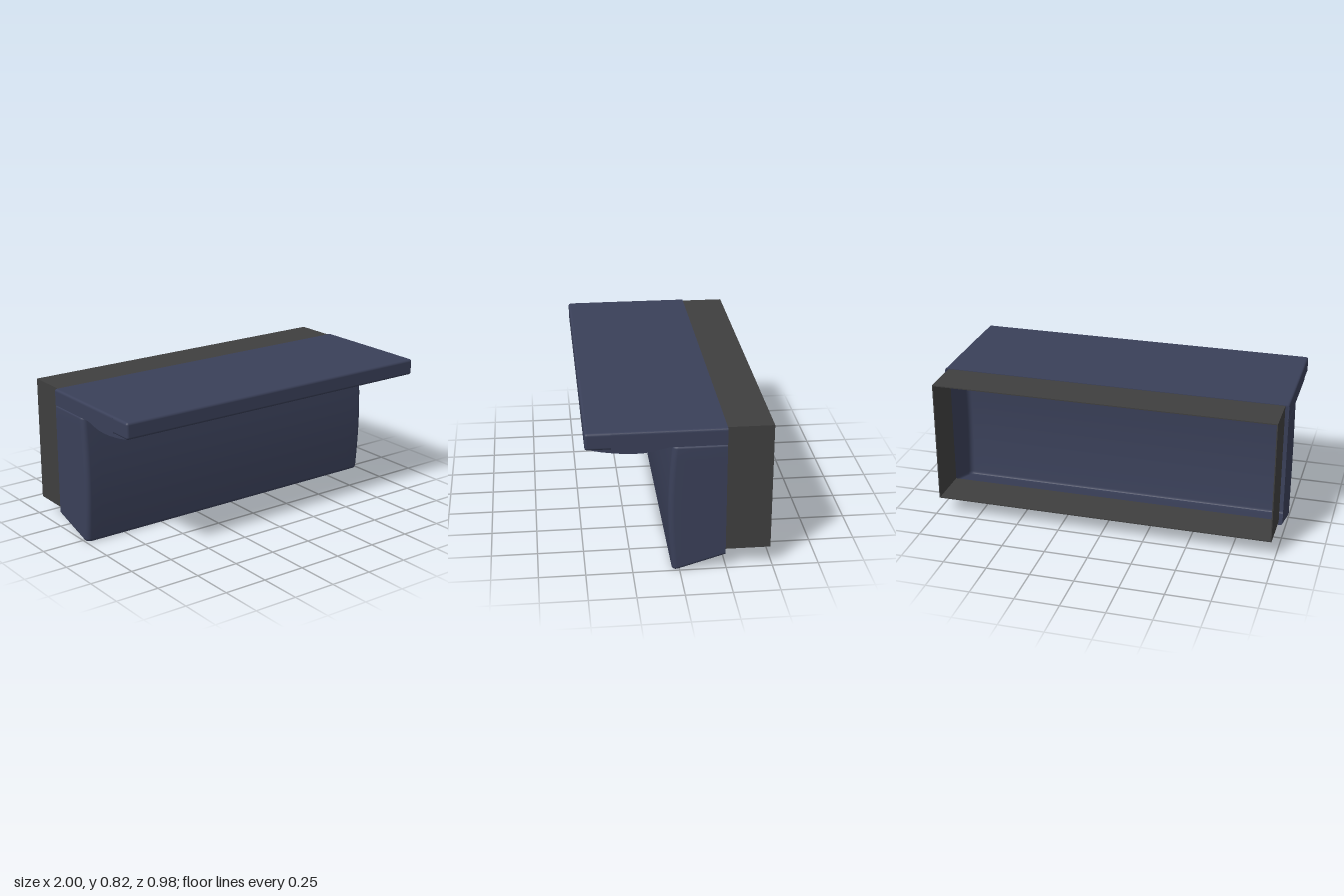
import * as THREE from 'three';
import { RoundedBoxGeometry } from 'three/addons/geometries/RoundedBoxGeometry.js';

const blue = new THREE.MeshStandardMaterial({ color: 0x3a4059, side: THREE.DoubleSide });
blue.name = 'slate blue';
const grey = new THREE.MeshStandardMaterial({ color: 0x3f3f3f, side: THREE.DoubleSide });
grey.name = 'dark grey';

const BACK = -0.245, LIP = 0.04, RIM = 0.725, TOP = 0.82;

function add(parent, name, geometry, material, x = 0, y = 0, z = 0) {
  const mesh = new THREE.Mesh(geometry, material);
  mesh.name = name;
  mesh.position.set(x, y, z);
  parent.add(mesh);
  return mesh;
}

// Open-backed, open-topped tub: a U-shaped plan swept from the sloping floor up to the rim
function binGeometry() {
  const r = 0.03, plan = [];
  for (const z of [BACK, -0.15, -0.05]) plan.push([-1, z]);
  for (let i = 0; i <= 6; i++) {
    const a = (i / 6) * Math.PI / 2;
    plan.push([-1 + r - r * Math.cos(a), LIP - r + r * Math.sin(a)]);
  }
  plan.push([-0.9, LIP], [-0.4, LIP]);
  const path = [...plan, ...plan.slice().reverse().map(([x, z]) => [-x, z])];

  // [inset scale, height fraction] from the floor centre to the rim
  const rings = [[0, 0], [0.5, 0], [0.9, 0]];
  for (let i = 0; i <= 5; i++) {
    const a = (i / 5) * Math.PI / 2;
    rings.push([1 - 0.02 * (1 - Math.sin(a)), 0.025 * (1 - Math.cos(a))]);
  }
  for (let i = 1; i <= 10; i++) rings.push([1, 0.025 + i * 0.096]);
  rings.push([0.995, 0.996], [0.985, 1]);

  const pos = [], index = [];
  for (const [s, t] of rings) {
    for (const [px, pz] of path) {
      const depth = s * (pz - BACK);
      const z = BACK + depth;
      const base = Math.max(0, 0.08 * (0.025 - z) / 0.27);
      const swell = 0.021 * Math.sin(Math.PI * t) * depth / (LIP - BACK);
      const side = 1 - (1 - s) * (t > 0 || s > 0.95 ? 0.6 : 1);
      pos.push(px * side, base + (RIM - base) * t, z + swell);
    }
  }
  const n = path.length;
  for (let j = 0; j < rings.length - 1; j++) {
    for (let i = 0; i < n - 1; i++) {
      const a = j * n + i, b = a + 1, c = a + n, d = c + 1;
      index.push(a, b, d, a, d, c);
    }
  }
  const g = new THREE.BufferGeometry();
  g.setAttribute('position', new THREE.Float32BufferAttribute(pos, 3));
  g.setIndex(index);
  g.computeVertexNormals();
  return g;
}

// Hollow rear of the lid: an inverted U section running front to back
function lidShellGeometry() {
  const s = new THREE.Shape();
  const r = 0.015, w = 0.008;
  s.moveTo(-1, RIM + 0.003);
  s.lineTo(-1, TOP - r);
  s.quadraticCurveTo(-1, TOP, -1 + r, TOP);
  s.lineTo(1 - r, TOP);
  s.quadraticCurveTo(1, TOP, 1, TOP - r);
  s.lineTo(1, RIM + 0.003);
  s.lineTo(1 - w, RIM + 0.003);
  s.lineTo(1 - w, TOP - w);
  s.lineTo(-1 + w, TOP - w);
  s.lineTo(-1 + w, RIM + 0.003);
  s.closePath();
  return new THREE.ExtrudeGeometry(s, { depth: 0.6, bevelEnabled: false });
}

// Underside swell: a side profile (z, y) extruded across x
function swellGeometry(points, x0, x1) {
  const s = new THREE.Shape();
  s.moveTo(points[0][0], RIM + 0.01);
  points.forEach(([z, y]) => s.lineTo(z, y));
  s.lineTo(points[points.length - 1][0], RIM + 0.01);
  s.closePath();
  const g = new THREE.ExtrudeGeometry(s, { depth: x1 - x0, bevelEnabled: false });
  g.rotateY(-Math.PI / 2);
  g.translate(x1, 0, 0);
  g.scale(1, 1, 1);
  return g;
}

export function createModel() {
  const model = new THREE.Group();
  model.name = 'dropBox';

  // Wall sleeve: open rectangular frame
  const sleeve = new THREE.Group();
  sleeve.name = 'wallSleeve';
  model.add(sleeve);
  const t = 0.006, depth = 0.245, zc = -0.3675;
  for (const y of [0.103 + t / 2, 0.817 - t / 2])
    add(sleeve, 'sleevePlate', new THREE.BoxGeometry(1.956, t, depth), grey, 0, y, zc);
  for (const s of [-1, 1])
    add(sleeve, 'sleeveSide', new THREE.BoxGeometry(t, 0.714, depth), grey, s * (0.978 - t / 2), 0.46, zc);

  add(model, 'bin', binGeometry(), blue);

  // Lid: hollow over the bin, solid where it overhangs
  const lid = new THREE.Group();
  lid.name = 'lid';
  model.add(lid);
  add(lid, 'lidShell', lidShellGeometry(), blue, 0, 0, BACK);
  add(lid, 'lidOverhang', new RoundedBoxGeometry(2, TOP - RIM - 0.001, 0.45, 3, 0.015), blue, 0, (TOP + RIM + 0.001) / 2, 0.265);

  // Swell under the overhang, with a finger recess in the middle of its front half
  const rear = [[0.03, 0.724], [0.08, 0.712], [0.13, 0.7], [0.18, 0.692], [0.23, 0.69]];
  const front = [[0.23, 0.69], [0.28, 0.692], [0.34, 0.698], [0.4, 0.707], [0.45, 0.718], [0.475, 0.727]];
  add(lid, 'swellRear', swellGeometry(rear, -0.98, 0.98), blue);
  for (const s of [-1, 1]) {
    const g = s > 0 ? swellGeometry(front, 0.27, 0.98) : swellGeometry(front, -0.98, -0.27);
    const p = g.attributes.position;
    for (let i = 0; i < p.count; i++) // slant the recess cheeks
      if (Math.abs(p.getX(i)) < 0.5) p.setX(i, s * (0.27 + 4 * Math.min(0.035, p.getY(i) - 0.69)));
    g.computeVertexNormals();
    add(lid, 'swellFront', g, blue);
  }

  // Back wall of the finger recess
  const grip = new THREE.Shape([
    new THREE.Vector2(-0.27, 0.69), new THREE.Vector2(0.27, 0.69),
    new THREE.Vector2(0.41, RIM), new THREE.Vector2(-0.41, RIM),
  ]);
  add(lid, 'fingerGrip', new THREE.ExtrudeGeometry(grip, { depth: 0.005, bevelEnabled: false }), grey, 0, 0, 0.23);

  return model;
}
